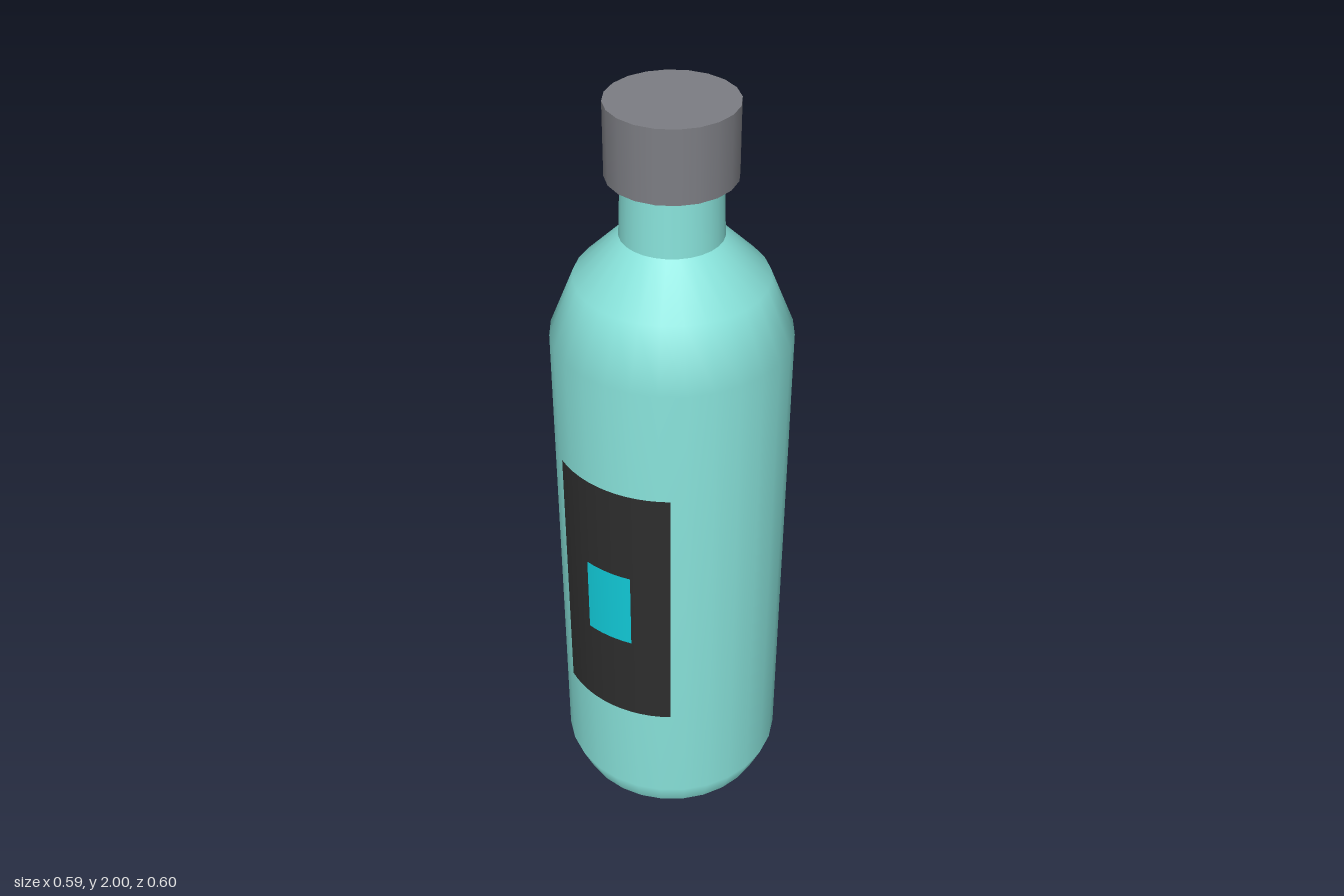
import * as THREE from 'three';

const paint = (name, color, side = THREE.FrontSide) => {
  const m = new THREE.MeshStandardMaterial({ color, side });
  m.name = name;
  return m;
};

export function createModel() {
  const teal = paint('teal', 0x88e2da);
  const grey = paint('grey', 0x7d7e84);
  const black = paint('black', 0x2d2d2d, THREE.DoubleSide);
  const cyan = paint('cyan', 0x11cad8, THREE.DoubleSide);

  const bottle = new THREE.Group();
  bottle.name = 'bottle';
  bottle.position.z = -0.006;
  const add = (name, geometry, material, y = 0) => {
    const mesh = new THREE.Mesh(geometry, material);
    mesh.name = name;
    mesh.position.y = y;
    bottle.add(mesh);
    return mesh;
  };

  // Smooth body with a chamfered foot and sloping shoulder
  const profile = [[0.265, 0], [0.296, 0.075], [0.296, 1.41], [0.235, 1.56], [0.125, 1.67]];
  add('body', new THREE.LatheGeometry(profile.map(([r, y]) => new THREE.Vector2(r, y)), 28), teal);

  // Flat underside
  add('base', new THREE.CircleGeometry(0.265, 28).rotateX(Math.PI / 2), teal);

  // Neck and cap
  add('neck', new THREE.CylinderGeometry(0.119, 0.125, 0.16, 28, 1, true), teal, 1.75);
  add('cap', new THREE.CylinderGeometry(0.155, 0.155, 0.18, 20), grey, 1.91);

  // Curved panels wrapped around the front
  const wrap = (name, radius, halfWidth, y0, y1, segments, material) => {
    const a = Math.asin(halfWidth / radius);
    add(name, new THREE.CylinderGeometry(radius, radius, y1 - y0, segments, 1, true, -a, 2 * a),
      material, (y0 + y1) / 2);
  };
  wrap('label', 0.303, 0.157, 0.375, 1.112, 12, black);
  wrap('labelBadge', 0.308, 0.064, 0.635, 0.855, 6, cyan);

  const model = new THREE.Group();
  model.name = 'model';
  model.add(bottle);
  return model;
}
